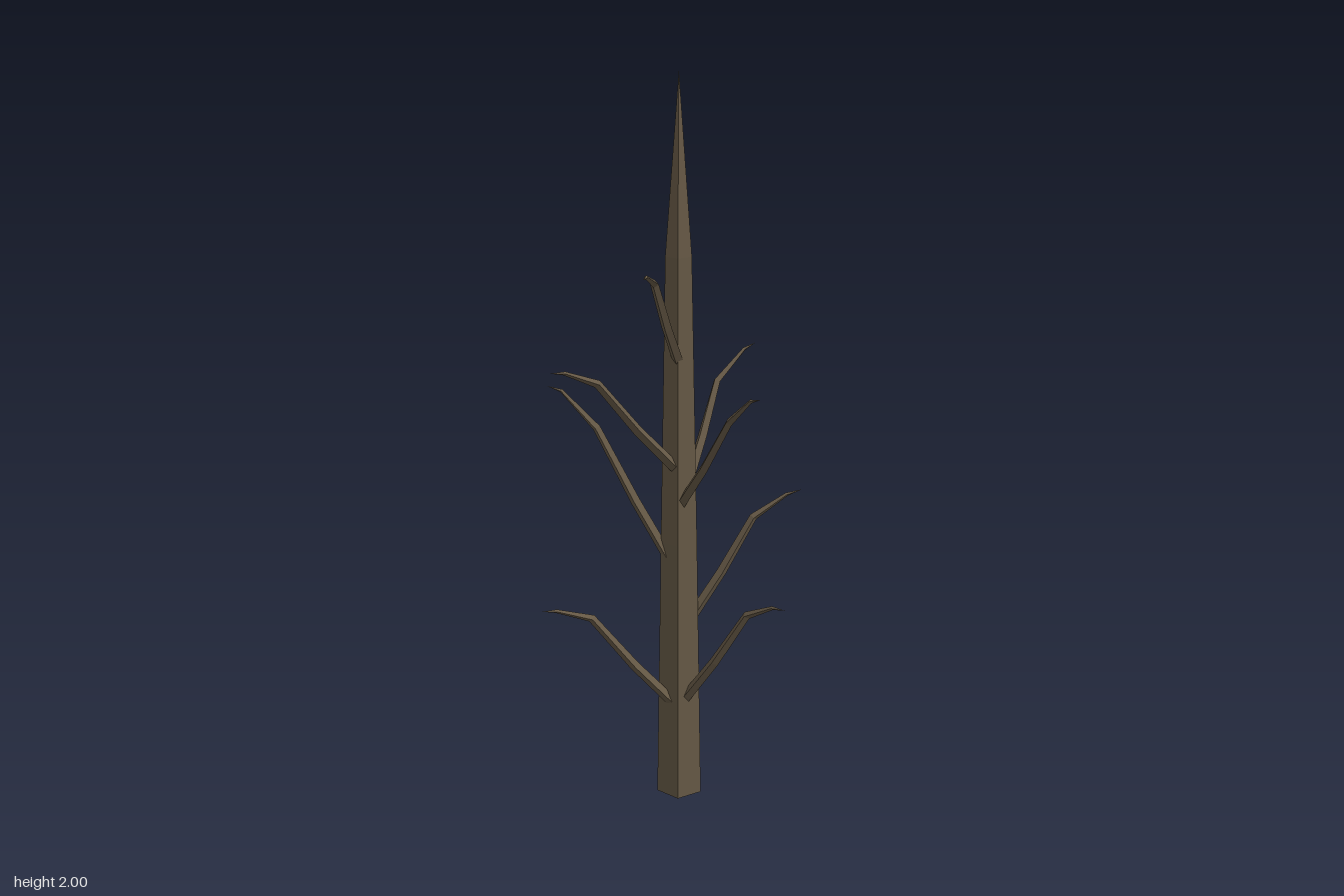
import * as THREE from 'three';

const SIDES_TRUNK = 5, SIDES_BRANCH = 4;
const V = (p) => new THREE.Vector3(...p);

// Faceted tapering limb: polygon rings along a path, first ring capped, last point is the sharp tip.
function limb(points, radii, sides, ref) {
  const path = points.map(V), last = path.length - 1;
  const pos = [], index = [];
  path.forEach((c, i) => {
    const t = path[Math.min(i + 1, last)].clone().sub(path[Math.max(i - 1, 0)]).normalize();
    const v = ref.clone().addScaledVector(t, -ref.dot(t)).normalize();
    const s = t.clone().cross(v);
    for (let k = 0; k < sides; k++) {
      const a = (k / sides) * Math.PI * 2;
      const p = c.clone().addScaledVector(v, radii[i] * Math.cos(a)).addScaledVector(s, radii[i] * Math.sin(a));
      pos.push(p.x, p.y, p.z);
    }
  });
  for (let i = 0; i < last; i++) {
    for (let k = 0; k < sides; k++) {
      const a = i * sides + k, b = i * sides + ((k + 1) % sides);
      index.push(a, b, b + sides);
      if (i < last - 1) index.push(a, b + sides, a + sides);
    }
  }
  for (let k = 1; k < sides - 1; k++) index.push(0, k + 1, k);
  const g = new THREE.BufferGeometry();
  g.setAttribute('position', new THREE.Float32BufferAttribute(pos, 3));
  g.setIndex(index);
  const flat = g.toNonIndexed();
  flat.computeVertexNormals();
  return flat;
}

// Each branch: root in the trunk, elbow, start of the hooked end, tip.
const BRANCHES = [
  [[0.01, 0.27, -0.045], [-0.215, 0.55, 0.015], [-0.305, 0.585, 0.055], [-0.34, 0.59, 0.073]],
  [[0.03, 0.29, -0.045], [0.204, 0.6, 0.08], [0.272, 0.648, 0.138], [0.305, 0.655, 0.17]],
  [[0.045, 0.52, -0.07], [0.212, 0.81, -0.102], [0.3, 0.872, -0.115], [0.34, 0.885, -0.12]],
  [[0.0, 0.68, -0.055], [-0.205, 1.06, -0.073], [-0.3, 1.155, -0.093], [-0.34, 1.165, -0.1]],
  [[0.02, 0.86, -0.045], [0.155, 1.145, 0.12], [0.21, 1.225, 0.2], [0.235, 1.24, 0.235]],
  [[0.035, 0.9, -0.095], [0.105, 1.15, -0.235], [0.175, 1.225, -0.291], [0.205, 1.24, -0.305]],
  [[0.01, 0.96, -0.045], [-0.18, 1.235, 0.11], [-0.257, 1.275, 0.158], [-0.29, 1.28, 0.18]],
  [[0.014, 1.25, -0.05], [-0.03, 1.51, 0.17], [-0.042, 1.548, 0.262], [-0.045, 1.55, 0.3]],
];

export function createModel() {
  const tree = new THREE.Group();
  tree.name = 'deadTree';
  const bark = new THREE.MeshStandardMaterial({ color: 0x655845, flatShading: true });

  // Five-sided trunk ending in a long spike
  const trunk = new THREE.Mesh(limb(
    [[0.016, 0, -0.075], [0.015, 0.75, -0.07], [0.013, 1.53, -0.066], [0.013, 2, -0.059]],
    [0.064, 0.051, 0.036, 0], SIDES_TRUNK, new THREE.Vector3(0, 0, 1)), bark);
  trunk.name = 'trunk';
  tree.add(trunk);

  // Bare branches with a slight sag below the elbow
  const up = new THREE.Vector3(0, 1, 0);
  BRANCHES.forEach(([root, elbow, hook, tip], i) => {
    const mid = V(root).lerp(V(elbow), 0.5);
    mid.y -= 0.01;
    const branch = new THREE.Mesh(
      limb([root, mid.toArray(), elbow, hook, tip], [0.015, 0.0135, 0.011, 0.005, 0], SIDES_BRANCH, up), bark);
    branch.name = `branch${i + 1}`;
    tree.add(branch);
  });
  return tree;
}
